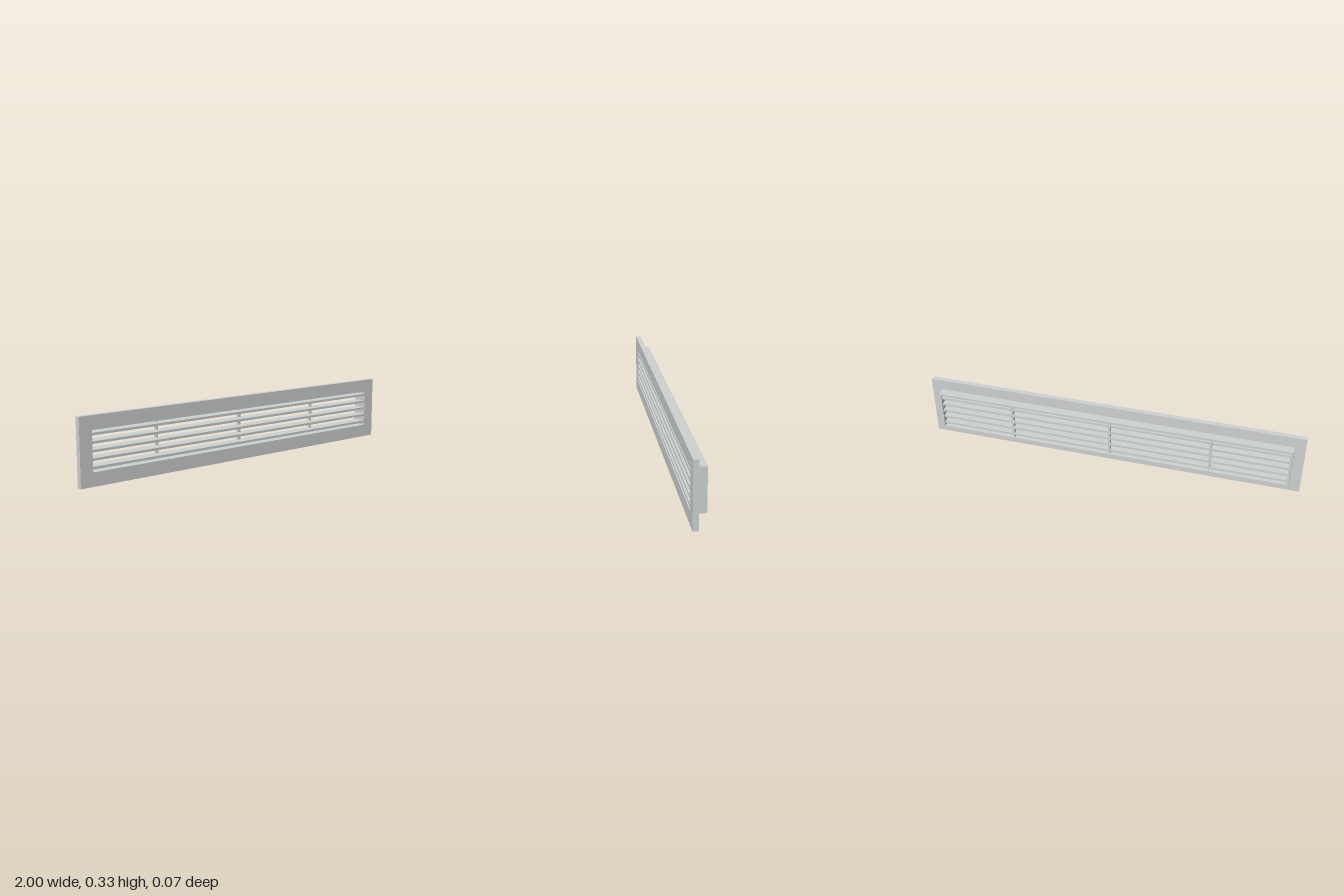
import * as THREE from 'three';

export function createModel() {
  const group = new THREE.Group();
  group.name = 'ventGrille';
  const metal = new THREE.MeshStandardMaterial({ color: 0xcdd1d0 });
  metal.name = 'light grey metal';

  const midY = 0.1665;
  const openW = 1.865, openH = 0.197;

  // Rectangular ring extruded between two depths
  const ring = (name, w, h, zBack, zFront) => {
    const rect = (Type, rw, rh) => new Type([
      new THREE.Vector2(-rw / 2, -rh / 2), new THREE.Vector2(rw / 2, -rh / 2),
      new THREE.Vector2(rw / 2, rh / 2), new THREE.Vector2(-rw / 2, rh / 2),
    ]);
    const shape = rect(THREE.Shape, w, h);
    shape.holes.push(rect(THREE.Path, openW, openH));
    const geo = new THREE.ExtrudeGeometry(shape, { depth: zFront - zBack, bevelEnabled: false });
    const mesh = new THREE.Mesh(geo, metal);
    mesh.name = name;
    mesh.position.set(0, midY, zBack);
    group.add(mesh);
  };

  const bar = (name, w, h, zBack, zFront, x, y) => {
    const mesh = new THREE.Mesh(new THREE.BoxGeometry(w, h, zFront - zBack), metal);
    mesh.name = name;
    mesh.position.set(x, y, (zBack + zFront) / 2);
    group.add(mesh);
  };

  // Face plate and the collar behind it
  ring('facePlate', 2, 0.333, 0.01, 0.037);
  ring('rearCollar', 1.89, 0.22, -0.037, 0.01);

  // Five horizontal slats
  for (let i = -2; i <= 2; i++) {
    bar('slat', openW, 0.012, -0.031, 0.036, 0, midY + i * 0.0395);
  }

  // Three upright braces at the rear of the slats
  for (const x of [-0.533, 0, 0.533]) {
    bar('brace', 0.012, openH, -0.03, -0.014, x, midY);
  }

  return group;
}
